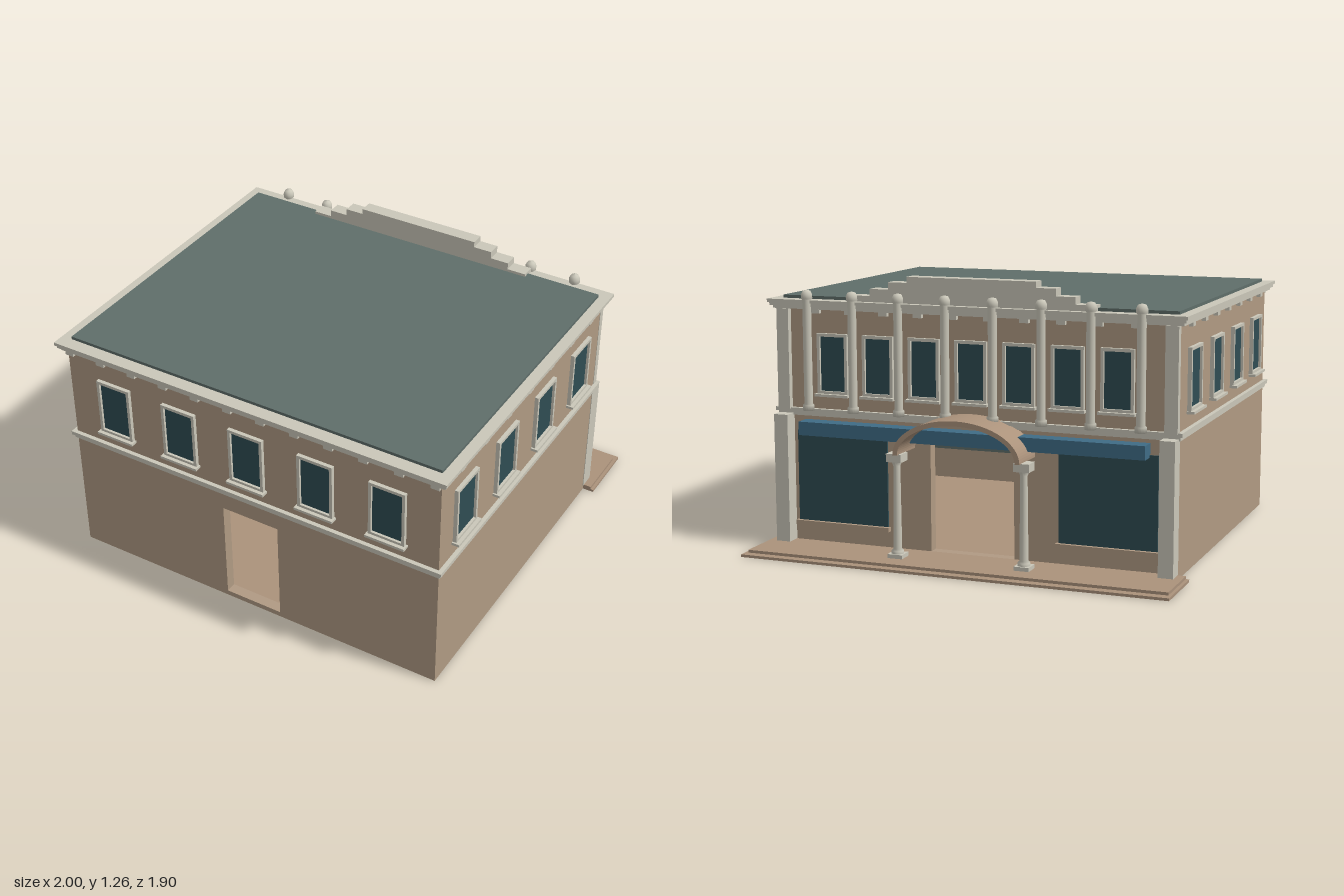
import * as THREE from 'three';

const mat = (name, color) => {
  const m = new THREE.MeshStandardMaterial({ color });
  m.name = name;
  return m;
};

export function createModel() {
  const M = {
    wall: mat('tan wall', 0xb09a83),
    paving: mat('warm paving', 0xab927b),
    trim: mat('cream trim', 0xcac7b9),
    roof: mat('slate roof', 0x5f6e6a),
    glass: mat('dark glass', 0x2f4c53),
    awning: mat('blue awning', 0x3f6c86),
  };
  const root = new THREE.Group();
  root.name = 'building';

  const add = (parent, name, geo, m) => {
    const mesh = new THREE.Mesh(geo, m);
    mesh.name = name;
    parent.add(mesh);
    return mesh;
  };
  // Box given by its minimum and maximum on each axis
  const box = (parent, name, m, x0, x1, y0, y1, z0, z1) => {
    const b = add(parent, name, new THREE.BoxGeometry(x1 - x0, y1 - y0, z1 - z0), m);
    b.position.set((x0 + x1) / 2, (y0 + y1) / 2, (z0 + z1) / 2);
    return b;
  };
  const group = (name, parent = root) => {
    const g = new THREE.Group();
    g.name = name;
    parent.add(g);
    return g;
  };

  const W = 0.945, ZF = 0.91, ZB = -0.64, T = 0.05, TOP = 1.12, FLOOR = 0.025;

  // Shell: two side walls, and two end walls with a doorway each
  const shell = group('walls');
  for (const s of [-1, 1]) {
    const a = s * W, b = s * (W - T);
    box(shell, 'sideWall', M.wall, Math.min(a, b), Math.max(a, b), 0, TOP, ZB, ZF);
  }
  const endWall = (name, half, height, z) => {
    const w = W - T;
    const s = new THREE.Shape([[-w, 0], [w, 0], [w, TOP], [-w, TOP]].map(p => new THREE.Vector2(...p)));
    s.holes.push(new THREE.Path([[-half, FLOOR], [-half, height], [half, height], [half, FLOOR]]
      .map(p => new THREE.Vector2(...p))));
    add(shell, name, new THREE.ExtrudeGeometry(s, { depth: T, bevelEnabled: false }), M.wall).position.z = z;
  };
  endWall('rearDoorWall', 0.143, 0.52, ZF - T);
  endWall('shopDoorWall', 0.2, 0.52, ZB);
  box(shell, 'floor', M.paving, -W + T, W - T, 0, FLOOR, ZB + T, ZF - T);
  box(shell, 'ceiling', M.roof, -W + T, W - T, 0.492, 0.55, ZB + T, ZF - T - 0.01);

  // Porch steps on the shop side
  box(root, 'lowerStep', M.paving, -1, 1, 0, 0.012, -0.95, ZB);
  box(root, 'upperStep', M.paving, -0.985, 0.985, 0.012, FLOOR, -0.91, ZB);

  // Belt course, cornice layers and roof deck
  const band = (name, y0, y1, out) =>
    box(root, name, M.trim, -W - out, W + out, y0, y1, ZB - out, ZF + out);
  band('beltLower', 0.61, 0.627, 0.01);
  band('beltUpper', 0.627, 0.645, 0.02);
  band('corniceLower', 1.1, 1.113, 0.022);
  band('corniceMiddle', 1.113, 1.128, 0.034);
  band('corniceUpper', 1.128, 1.143, 0.042);
  box(root, 'roofDeck', M.roof, -0.935, 0.935, 1.14, 1.157, -0.62, 0.89);

  // Dentils under the cornice
  const dentils = group('dentils');
  for (let i = 0; i < 12; i++) {
    const x = -0.924 + i * 0.168;
    box(dentils, 'dentil', M.trim, x - 0.021, x + 0.021, 1.082, 1.102, ZF, ZF + 0.02);
    box(dentils, 'dentil', M.trim, x - 0.021, x + 0.021, 1.082, 1.102, ZB - 0.02, ZB);
  }
  for (let i = 0; i < 7; i++) {
    const z = 0.757 - i * 0.208;
    box(dentils, 'dentil', M.trim, W, W + 0.02, 1.082, 1.102, z - 0.021, z + 0.021);
    box(dentils, 'dentil', M.trim, -W - 0.02, -W, 1.082, 1.102, z - 0.021, z + 0.021);
  }

  // Upper window: frame bars, glass and sill, facing local +z
  const windowUnit = (x, z, turn, w) => {
    const g = group('upperWindow');
    const h = w / 2, y0 = 0.715, y1 = 0.992, f = 0.014, d = 0.018;
    box(g, 'glass', M.glass, -h + f, h - f, y0 + f, y1 - f, 0, 0.006);
    box(g, 'frameTop', M.trim, -h, h, y1 - f, y1, 0, d);
    box(g, 'frameBottom', M.trim, -h, h, y0, y0 + f, 0, d);
    for (const s of [-1, 1]) {
      const c = s * (h - f / 2);
      box(g, 'frameSide', M.trim, c - f / 2, c + f / 2, y0 + f, y1 - f, 0, d);
    }
    box(g, 'sill', M.trim, -h - 0.008, h + 0.008, 0.705, 0.717, 0, 0.035);
    g.position.set(x, 0, z);
    g.rotation.y = turn;
  };
  for (let i = -2; i <= 2; i++) windowUnit(i * 0.35, ZF, 0, 0.175);
  for (let i = 0; i < 4; i++) {
    const z = 0.7 - i * 0.374;
    windowUnit(W, z, Math.PI / 2, 0.188);
    windowUnit(-W, z, -Math.PI / 2, 0.188);
  }
  for (let i = -3; i <= 3; i++) windowUnit(i * 0.225, ZB, Math.PI, 0.15);

  // Slim columns with domed caps along the upper shop side
  const profile = [[0, 0.64], [0.026, 0.64], [0.026, 0.665], [0.02, 0.67], [0.02, 1.145], [0.026, 1.15],
    [0.026, 1.168], [0.018, 1.185], [0, 1.19]].map(p => new THREE.Vector2(...p));
  const columnGeo = new THREE.LatheGeometry(profile, 14);
  const columns = group('upperColumns');
  for (let i = 0; i < 8; i++) add(columns, 'column', columnGeo, M.trim).position.set((i - 3.5) * 0.225, 0, -0.675);

  // Corner posts, storefront glass with frame and sill, canopy posts
  for (const s of [-1, 1]) {
    const side = group(s > 0 ? 'leftShopSide' : 'rightShopSide');
    const sbox = (name, m, x0, x1, ...r) => box(side, name, m, Math.min(s * x0, s * x1), Math.max(s * x0, s * x1), ...r);
    sbox('cornerPost', M.trim, 0.88, 0.948, FLOOR, 0.618, -0.71, -0.632);
    sbox('upperPilaster', M.trim, 0.888, 0.947, 0.64, 1.1, -0.668, -0.636);
    sbox('storefrontGlass', M.glass, 0.41, 0.86, 0.12, 0.54, ZB - 0.008, ZB);
    sbox('storefrontSill', M.wall, 0.4, 0.87, 0.1, 0.12, ZB - 0.025, ZB);

    const post = group('canopyPost', side);
    box(post, 'base', M.trim, -0.035, 0.035, FLOOR, 0.043, -0.035, 0.035);
    add(post, 'shaft', new THREE.LatheGeometry([[0.028, 0.043], [0.028, 0.056], [0.02, 0.064], [0.016, 0.44],
      [0.026, 0.462]].map(p => new THREE.Vector2(...p)), 14), M.trim);
    box(post, 'capital', M.trim, -0.036, 0.036, 0.46, 0.497, -0.036, 0.036);
    post.position.set(s * 0.3, 0, -0.783);
  }

  // Long shop awning
  box(root, 'awning', M.awning, -0.82, 0.82, 0.53, 0.592, -0.716, ZB);

  // Arched canopy: a curved slab carried by the posts
  const arch = new THREE.Shape();
  arch.absellipse(0, 0.495, 0.298, 0.17, 0, Math.PI, false);
  arch.lineTo(-0.276, 0.495);
  arch.absellipse(0, 0.495, 0.276, 0.148, Math.PI, 0, true);
  arch.closePath();
  add(root, 'archedCanopy', new THREE.ExtrudeGeometry(arch, { depth: 0.193, bevelEnabled: false, curveSegments: 24 }),
    M.paving).position.z = -0.833;

  // Stepped parapet
  const parapet = group('parapet');
  [[0.575, 1.14, 1.17], [0.485, 1.17, 1.202], [0.395, 1.202, 1.235], [0.305, 1.235, 1.262]].forEach(([x, y0, y1]) =>
    box(parapet, 'parapetStep', M.trim, -x, x, y0, y1, -0.65, -0.585));

  return root;
}
